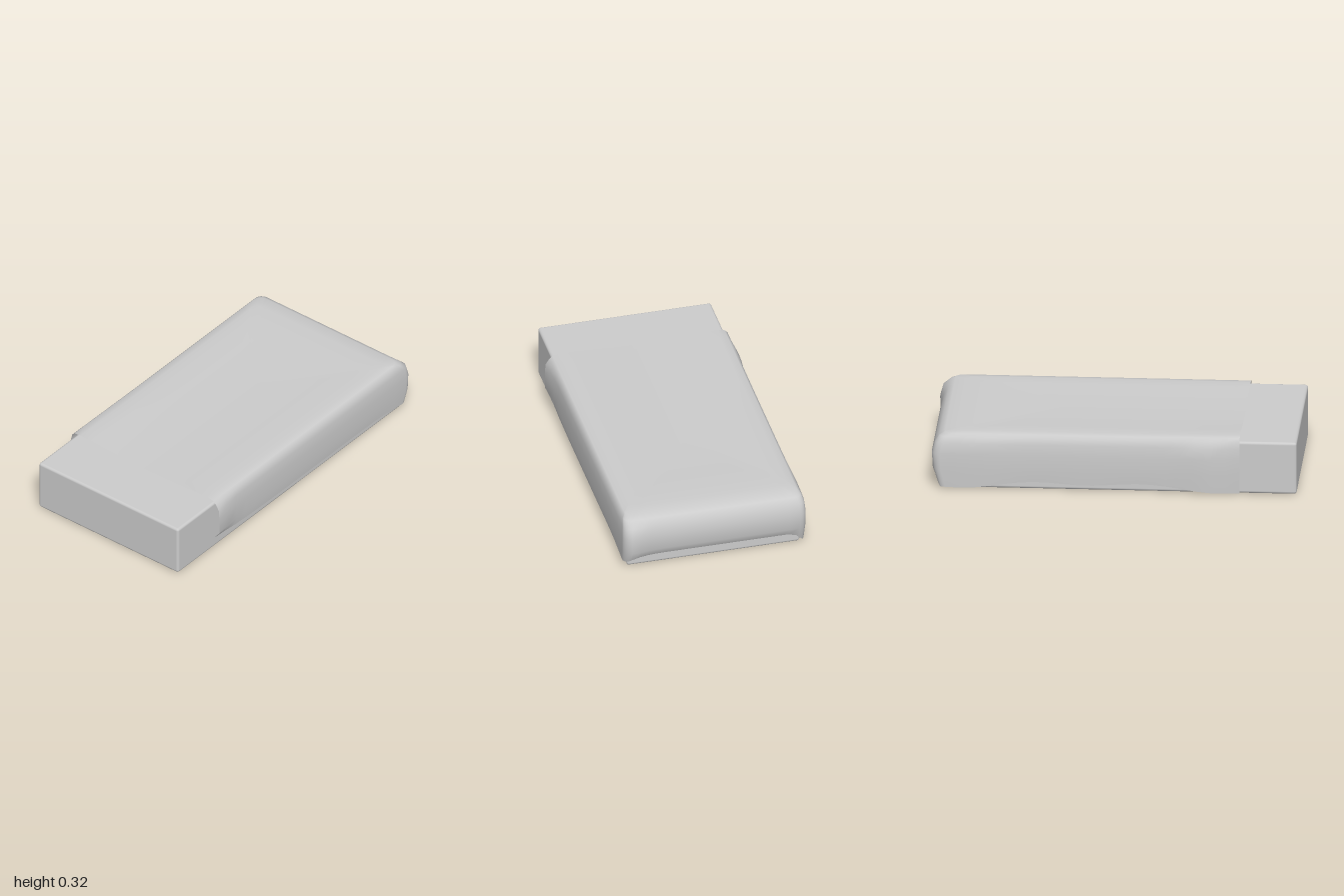
import * as THREE from 'three';
import { RoundedBoxGeometry } from 'three/addons/geometries/RoundedBoxGeometry.js';

const FRONT = 0.69; // open front edge of the blanket
const SIDE = 20, ARC = 6, BACK = 20;
const bump = (v, centre, width) => Math.exp(-(((v - centre) / width) ** 2));

// U-shaped path: front -x, round the back, to front +x
function hoop(w, back) {
  const r = Math.min(0.045, w), pts = [];
  const zc = -back + r, xc = w - r;
  for (let i = 0; i < SIDE; i++) pts.push([-w, THREE.MathUtils.lerp(FRONT, zc, i / SIDE)]);
  for (let i = 0; i < ARC; i++) {
    const a = (i / ARC) * Math.PI / 2;
    pts.push([-xc - r * Math.cos(a), zc - r * Math.sin(a)]);
  }
  for (let i = 0; i <= BACK; i++) pts.push([THREE.MathUtils.lerp(-xc, xc, i / BACK), -back]);
  for (let i = ARC - 1; i >= 0; i--) {
    const a = (i / ARC) * Math.PI / 2;
    pts.push([xc + r * Math.cos(a), zc - r * Math.sin(a)]);
  }
  for (let i = SIDE - 1; i >= 0; i--) pts.push([w, THREE.MathUtils.lerp(FRONT, zc, i / SIDE)]);
  return pts;
}

// Height of the loose hem round the bed
function hemHeight(x, z) {
  if (z < -0.93) return 0.075 - 0.06 * bump(x, -0.51, 0.04) - 0.03 * bump(x, 0.51, 0.05);
  if (x > 0) return 0.068 + 0.012 * bump(z, 0.69, 0.3) - 0.025 * bump(z, -0.95, 0.15);
  return 0.05 - 0.042 * bump(z, 0.69, 0.25) - 0.035 * bump(z, -0.93, 0.25) + 0.008 * Math.sin(z * 11);
}

function blanketGeometry() {
  // [half width, back reach, height], hem first, then up and over the top
  const levels = [
    [0.507, 0.955, 0.06], [0.512, 0.98, 0.12], [0.513, 0.985, 0.21], [0.508, 0.968, 0.27],
    [0.499, 0.945, 0.303], [0.482, 0.915, 0.319], [0.44, 0.84, 0.325], [0.36, 0.72, 0.325],
    [0.26, 0.6, 0.32], [0.14, 0.45, 0.317], [0, 0.3, 0.316],
  ];
  const pos = [], index = [];
  let n = 0;
  levels.forEach(([w, back, y], k) => {
    const pts = hoop(w, back);
    n = pts.length;
    pts.forEach(([x, z]) => {
      let px = x, py = k === 0 ? hemHeight(x, z) : y, pz = z;
      if (k < 4) {
        // loose folds on the hanging cloth
        if (x > 0.48) px += 0.012 * bump(z, FRONT, 0.12) * (k === 0 ? -1 : 1);
        if (x < -0.48) px -= 0.014 * bump(z, 0.5, 0.08) + 0.008 * bump(z, -0.75, 0.2);
        if (z < -0.9) pz -= 0.015 * bump(x, 0.45, 0.08);
      } else if (k < 8) {
        py += 0.006 * bump(x, -0.5, 0.2) * bump(z, FRONT, 0.4);
      }
      pos.push(px, py, pz);
    });
  });
  for (let k = 0; k < levels.length - 1; k++) {
    for (let i = 0; i < n - 1; i++) {
      const a = k * n + i, b = a + 1, c = a + n, d = c + 1;
      index.push(a, c, b, b, c, d);
    }
  }
  const g = new THREE.BufferGeometry();
  g.setAttribute('position', new THREE.Float32BufferAttribute(pos, 3));
  g.setIndex(index);
  g.computeVertexNormals();
  return g;
}

export function createModel() {
  const group = new THREE.Group();
  group.name = 'bed';

  // Mattress block with slightly softened edges
  const mattress = new THREE.Mesh(
    new RoundedBoxGeometry(0.97, 0.295, 1.94, 2, 0.015),
    new THREE.MeshStandardMaterial({ color: 0xcccccc }),
  );
  mattress.name = 'mattress';
  mattress.position.set(0, 0.1575, 0.03);

  // Draped cloth, open at the front
  const blanket = new THREE.Mesh(
    blanketGeometry(),
    new THREE.MeshStandardMaterial({ color: 0xcccccc, side: THREE.DoubleSide }),
  );
  blanket.name = 'blanket';

  group.add(mattress, blanket);
  return group;
}
